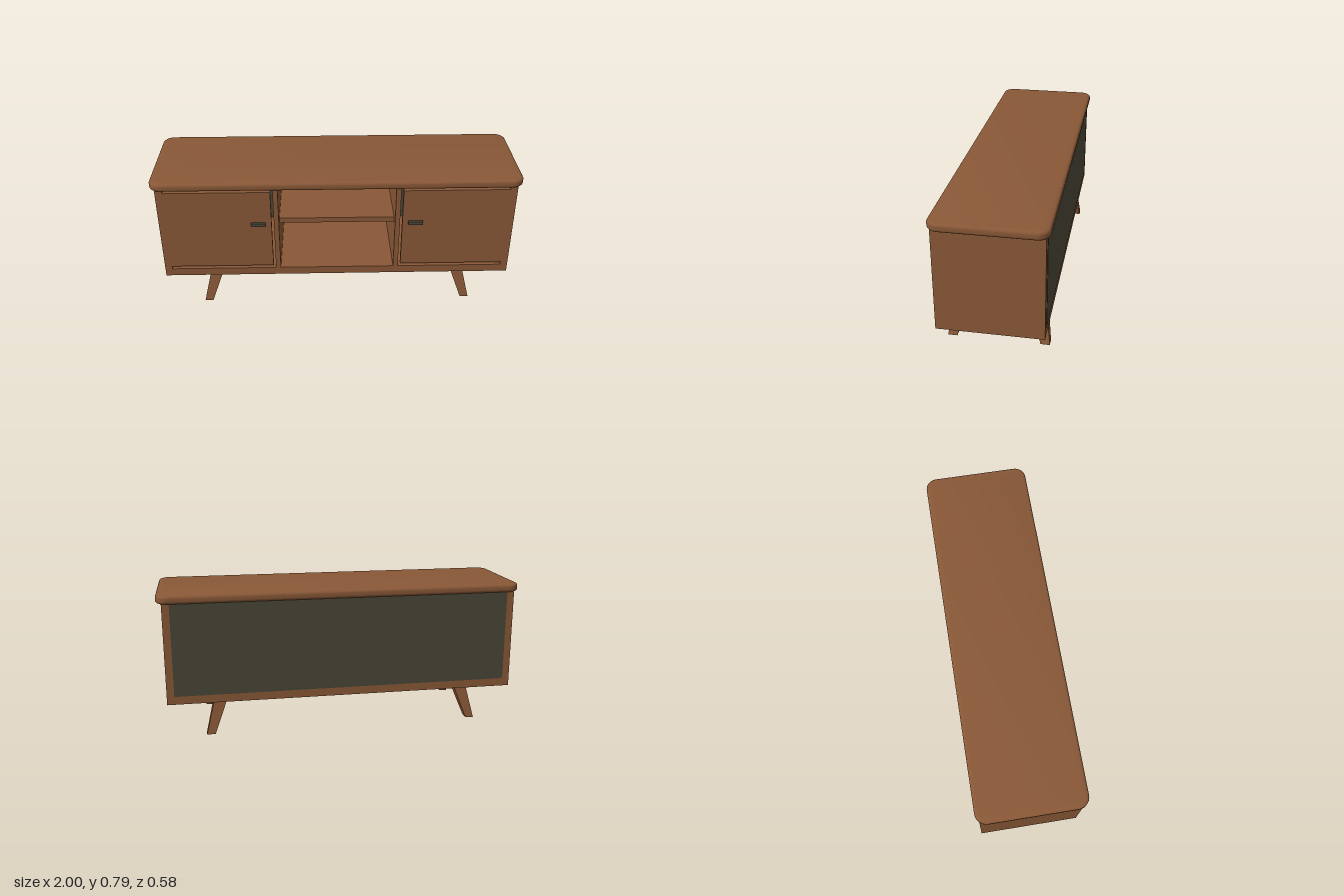
import * as THREE from 'three';
import { toCreasedNormals } from 'three/addons/utils/BufferGeometryUtils.js';

export function createModel() {
  const wood = new THREE.MeshStandardMaterial({ color: 0x895837 });
  wood.name = 'walnut wood';
  const dark = new THREE.MeshStandardMaterial({ color: 0x4a4638 });
  dark.name = 'dark panel';

  const model = new THREE.Group();
  model.name = 'mediaCabinet';

  const add = (name, geometry, material) => {
    const mesh = new THREE.Mesh(geometry, material);
    mesh.name = name;
    model.add(mesh);
    return mesh;
  };
  // Box given by its limits on each axis
  const box = (name, material, [x0, x1], [y0, y1], [z0, z1]) => {
    const g = new THREE.BoxGeometry(x1 - x0, y1 - y0, z1 - z0);
    g.translate((x0 + x1) / 2, (y0 + y1) / 2, (z0 + z1) / 2);
    return add(name, g, material);
  };
  // The same limits on the left (+x) or right (-x) half
  const span = (s, a, b) => (s > 0 ? [a, b] : [-b, -a]);

  // Tabletop: rounded rectangle with softened edges
  const bevel = 0.018, w = 1 - bevel, d = 0.29 - bevel, r = 0.045;
  const outline = new THREE.Shape();
  outline.absarc(w - r, d - r, r, 0, Math.PI / 2);
  outline.absarc(-w + r, d - r, r, Math.PI / 2, Math.PI);
  outline.absarc(-w + r, -d + r, r, Math.PI, Math.PI * 1.5);
  outline.absarc(w - r, -d + r, r, Math.PI * 1.5, Math.PI * 2);
  outline.closePath();
  const top = new THREE.ExtrudeGeometry(outline, {
    depth: 0.017, bevelSize: bevel, bevelThickness: 0.015, bevelSegments: 5, curveSegments: 8,
  });
  top.rotateX(-Math.PI / 2);
  top.translate(0, 0.753, 0);
  add('tabletop', toCreasedNormals(top, 0.6), wood);

  // Carcass
  const front = 0.272, back = -0.272, floorTop = 0.23, underTop = 0.739;
  box('floor', wood, [-0.97, 0.97], [0.185, floorTop], [back, front]);
  box('backPanel', dark, [-0.93, 0.93], [floorTop, underTop], [-0.274, -0.262]);
  box('shelf', wood, [-0.318, 0.318], [0.49, 0.52], [-0.262, 0.21]);

  for (const s of [1, -1]) {
    const side = s > 0 ? 'left' : 'right';
    box(side + 'SidePanel', wood, span(s, 0.93, 0.97), [floorTop, underTop], [back, front]);
    box(side + 'Divider', wood, span(s, 0.318, 0.345), [floorTop, underTop], [-0.262, front]);
    box(side + 'Door', wood, span(s, 0.358, 0.93), [0.247, 0.722], [0.25, front]);
    box(side + 'Handle', dark, span(s, 0.39, 0.47), [0.515, 0.533], [front, 0.288]);

    // Splayed tapered legs: wide at the top, narrow and pushed outwards at the foot
    for (const f of [1, -1]) {
      const leg = new THREE.BoxGeometry(1, 1, 1).toNonIndexed();
      const p = leg.attributes.position;
      for (let i = 0; i < p.count; i++) {
        const up = p.getY(i) > 0;
        const [cx, cz, wx, wz] = up ? [0.685, 0.207, 0.07, 0.074] : [0.743, 0.245, 0.046, 0.049];
        p.setXYZ(i, s * cx + p.getX(i) * wx, up ? 0.186 : 0, f * cz + p.getZ(i) * wz);
      }
      leg.computeVertexNormals();
      add(side + (f > 0 ? 'Front' : 'Back') + 'Leg', leg, wood);
    }
  }
  return model;
}
